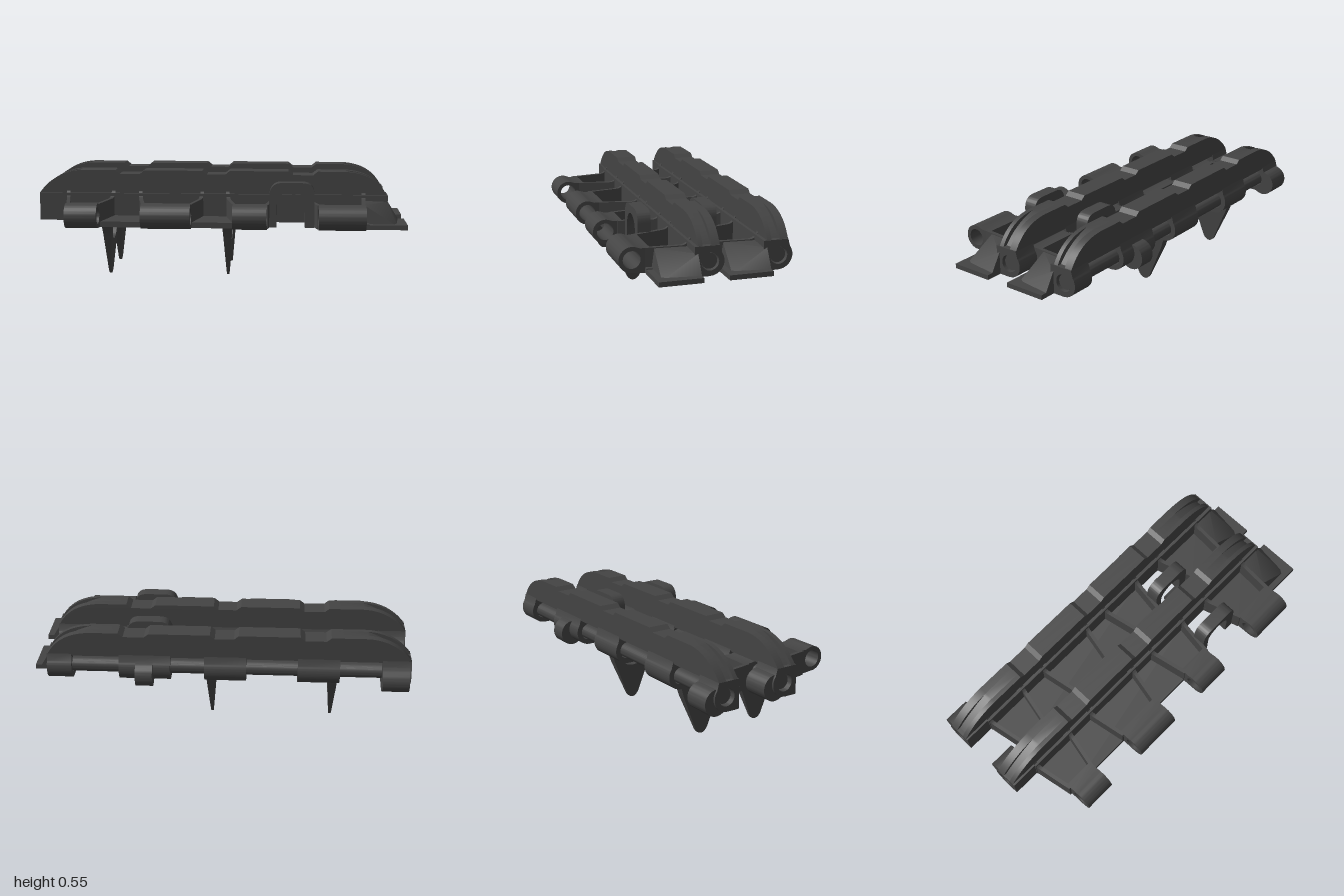
import * as THREE from 'three';
import { toCreasedNormals } from 'three/addons/utils/BufferGeometryUtils.js';
import { ConvexGeometry } from 'three/addons/geometries/ConvexGeometry.js';

const PITCH = 0.355;      // distance between links
const PIN_Z = 0.028, PIN_Y = 0.35, BORE = 0.045;
const steel = new THREE.MeshStandardMaterial({ color: 0x444444 });

function add(group, name, geometry) {
  const mesh = new THREE.Mesh(toCreasedNormals(geometry, 0.6), steel);
  mesh.name = name;
  group.add(mesh);
  return mesh;
}

const extrude = (shape, depth) =>
  new THREE.ExtrudeGeometry(shape, { depth, bevelEnabled: false, curveSegments: 16 });

// Extrudes a side profile, drawn as (-z, y), from x0 to x1
function extrudeX(shape, x0, x1) {
  return extrude(shape, x1 - x0).rotateY(Math.PI / 2).translate(x0, 0, 0);
}

function poly(points) {
  return new THREE.Shape(points.map(([x, y]) => new THREE.Vector2(x, y)));
}

function bore(shape, z, r = BORE) {
  const hole = new THREE.Path();
  hole.absarc(-z, PIN_Y, r, 0, Math.PI * 2, true);
  shape.holes.push(hole);
  return shape;
}

// Guide wall outline with three shallow notches and rounded ends
function wallShape(inset) {
  const s = new THREE.Shape();
  const low = 0.42, top = 0.555, dip = 0.535;
  s.moveTo(-1 + inset, low);
  s.lineTo(-1 + inset, 0.43);
  s.bezierCurveTo(-0.95 + inset, 0.5 - inset, -0.87 + inset, 0.55 - inset, -0.77, top);
  for (const [a, b] of [[-0.58, -0.42], [-0.1, 0.05], [0.37, 0.53]]) {
    s.lineTo(a, top);
    s.lineTo(a + 0.025, dip);
    s.lineTo(b - 0.025, dip);
    s.lineTo(b, top);
  }
  s.lineTo(0.68, top);
  s.bezierCurveTo(0.8 - inset, 0.55 - inset, 0.87 - inset, 0.5 - inset, 0.91 - inset, low);
  return s;
}

// Front hinge lug, rounded forward
function frontLugShape() {
  const s = new THREE.Shape();
  s.moveTo(-0.29, 0.405);
  s.lineTo(-0.34, 0.405);
  s.absarc(-0.383, PIN_Y, 0.066, Math.PI * 0.42, Math.PI * 1.5, false);
  s.lineTo(-0.29, 0.277);
  return bore(s, 0.383);
}

// Rear hinge lug, rounded backward under the wall
function rearLugShape() {
  const s = new THREE.Shape();
  s.moveTo(-0.1, 0.277);
  s.lineTo(-PIN_Z, 0.277);
  s.absarc(-PIN_Z, PIN_Y, 0.072, -Math.PI / 2, Math.PI * 0.2, false);
  s.lineTo(0.02, 0.43);
  s.lineTo(-0.1, 0.43);
  return bore(s, PIN_Z);
}

// Long rear lobe beyond the hinge
function lobeShape() {
  const s = new THREE.Shape();
  s.moveTo(-0.09, 0.28);
  s.lineTo(-0.03, 0.28);
  s.absarc(0.025, 0.33, 0.068, -Math.PI * 0.65, Math.PI * 0.5, false);
  s.lineTo(-0.09, 0.42);
  return bore(s, PIN_Z);
}

function gussetShape() {
  const s = new THREE.Shape();
  s.moveTo(-0.085, 0.277);
  s.lineTo(-0.085, 0.46);
  s.quadraticCurveTo(-0.095, 0.405, -0.14, 0.405);
  s.lineTo(-0.315, 0.405);
  s.lineTo(-0.315, 0.277);
  return s;
}

// Pointed ground tooth with an arched opening
function toothShape() {
  const s = new THREE.Shape();
  s.moveTo(-0.31, 0.28);
  s.quadraticCurveTo(-0.29, 0.25, -0.28, 0.22);
  s.lineTo(-0.215, 0.04);
  s.bezierCurveTo(-0.2, -0.013, -0.15, -0.013, -0.133, 0.04);
  s.lineTo(-0.055, 0.22);
  s.lineTo(-0.035, 0.28);
  s.lineTo(-0.088, 0.28);
  s.bezierCurveTo(-0.1, 0.21, -0.13, 0.193, -0.17, 0.193);
  s.bezierCurveTo(-0.215, 0.193, -0.245, 0.21, -0.255, 0.28);
  return s;
}

// Moves every vertex of a geometry by a rule
function warp(geometry, rule) {
  const p = geometry.attributes.position, v = new THREE.Vector3();
  for (let i = 0; i < p.count; i++) {
    rule(v.fromBufferAttribute(p, i));
    p.setXYZ(i, v.x, v.y, v.z);
  }
  return geometry;
}

// Horizontal plate from (x, z) corners
function plate(points, y, thick) {
  return extrude(poly(points.map(([x, z]) => [x, -z])), thick).rotateX(-Math.PI / 2).translate(0, y, 0);
}

function createLink() {
  const link = new THREE.Group();

  // Guide wall in layers; the middle layer leaves a groove at both ends
  for (const [z0, z1, inset] of [[-0.02, 0.022, 0], [0.022, 0.066, 0.022], [0.066, 0.09, 0]])
    add(link, 'guideWall', extrude(wallShape(inset), z1 - z0).translate(0, 0, z0));
  add(link, 'wallSkirt', new THREE.BoxGeometry(1.76, 0.153, 0.015).translate(0.03, 0.3535, 0.1));

  // Hinge lugs
  for (const [a, b] of [[-0.8, -0.63], [-0.4, -0.14], [0.08, 0.26], [0.53, 0.775]])
    add(link, 'frontLug', extrudeX(frontLugShape(), a, b));
  for (const [a, b] of [[-1, -0.85], [-0.63, -0.41], [-0.14, 0.08], [0.26, 0.53], [0.78, 0.91]])
    add(link, 'rearLug', extrudeX(rearLugShape(), a, b));
  for (const [a, b] of [[-0.99, -0.85], [0.35, 0.44]])
    add(link, 'rearLobe', extrudeX(lobeShape(), a, b));

  // Hinge pin
  add(link, 'pin', new THREE.CylinderGeometry(0.04, 0.04, 1.87, 32)
    .rotateZ(Math.PI / 2).translate(-0.04, PIN_Y, PIN_Z));

  // Floor plates either side of the sprocket opening
  add(link, 'floor', plate([[-0.85, 0.095], [0.3, 0.095], [0.265, 0.315], [-0.81, 0.315]], 0.277, 0.03));
  add(link, 'floor', plate([[0.46, 0.095], [0.8, 0.095], [0.8, 0.315], [0.53, 0.315]], 0.277, 0.03));

  // Slanted gussets running from the wall to the lugs
  const gussets = [[-0.84, -0.8], [-0.59, -0.64], [-0.44, -0.4], [-0.1, -0.15],
    [0.04, 0.085], [0.29, 0.255], [0.47, 0.535], [0.78, 0.765]];
  for (const [wallX, frontX] of gussets)
    add(link, 'gusset', warp(extrudeX(gussetShape(), -0.01, 0.01), v => {
      v.x += wallX + (frontX - wallX) * (v.z - 0.09) / 0.225;
    }));

  // Front wall of the pockets behind each lug
  for (const [a, b] of [[-0.8, -0.64], [-0.4, -0.15], [0.085, 0.255], [0.535, 0.765]])
    add(link, 'pocketEnd', new THREE.BoxGeometry(b - a, 0.128, 0.025).translate((a + b) / 2, 0.341, 0.3025));

  // Arch across the sprocket opening
  const arch = new THREE.Shape();
  arch.moveTo(0.27, 0.277);
  arch.lineTo(0.27, 0.45);
  arch.bezierCurveTo(0.275, 0.5, 0.3, 0.517, 0.34, 0.517);
  arch.lineTo(0.44, 0.517);
  arch.bezierCurveTo(0.485, 0.517, 0.51, 0.5, 0.51, 0.45);
  arch.lineTo(0.51, 0.277);
  arch.lineTo(0.46, 0.277);
  arch.lineTo(0.46, 0.4);
  arch.absarc(0.385, 0.4, 0.075, 0, Math.PI, false);
  arch.lineTo(0.31, 0.277);
  add(link, 'arch', extrude(arch, 0.07).translate(0, 0, 0.207));

  // Side flange with its sloping brace
  add(link, 'sideFlange', plate([[0.775, 0.09], [1, 0.09], [1, 0.315], [0.775, 0.315]], 0.277, 0.025));
  add(link, 'sideBrace', new ConvexGeometry([
    [0.775, 0.29, 0.09], [0.975, 0.29, 0.09], [0.95, 0.29, 0.285], [0.775, 0.29, 0.285],
    [0.775, 0.4, 0.09], [0.775, 0.4, 0.27], [0.91, 0.395, 0.09],
  ].map(p => new THREE.Vector3(...p))));

  // Ground teeth, thinning towards the tip
  for (const x of [-0.597, 0.048])
    add(link, 'tooth', warp(extrudeX(toothShape(), -1, 1), v => {
      v.x = x + v.x * (0.006 + 0.07 * v.y);
    }));

  return link;
}

export function createModel() {
  const model = new THREE.Group();
  model.name = 'trackLinks';
  ['frontLink', 'rearLink'].forEach((name, i) => {
    const link = createLink();
    link.name = name;
    link.position.z = -PITCH * i;
    model.add(link);
  });
  return model;
}
